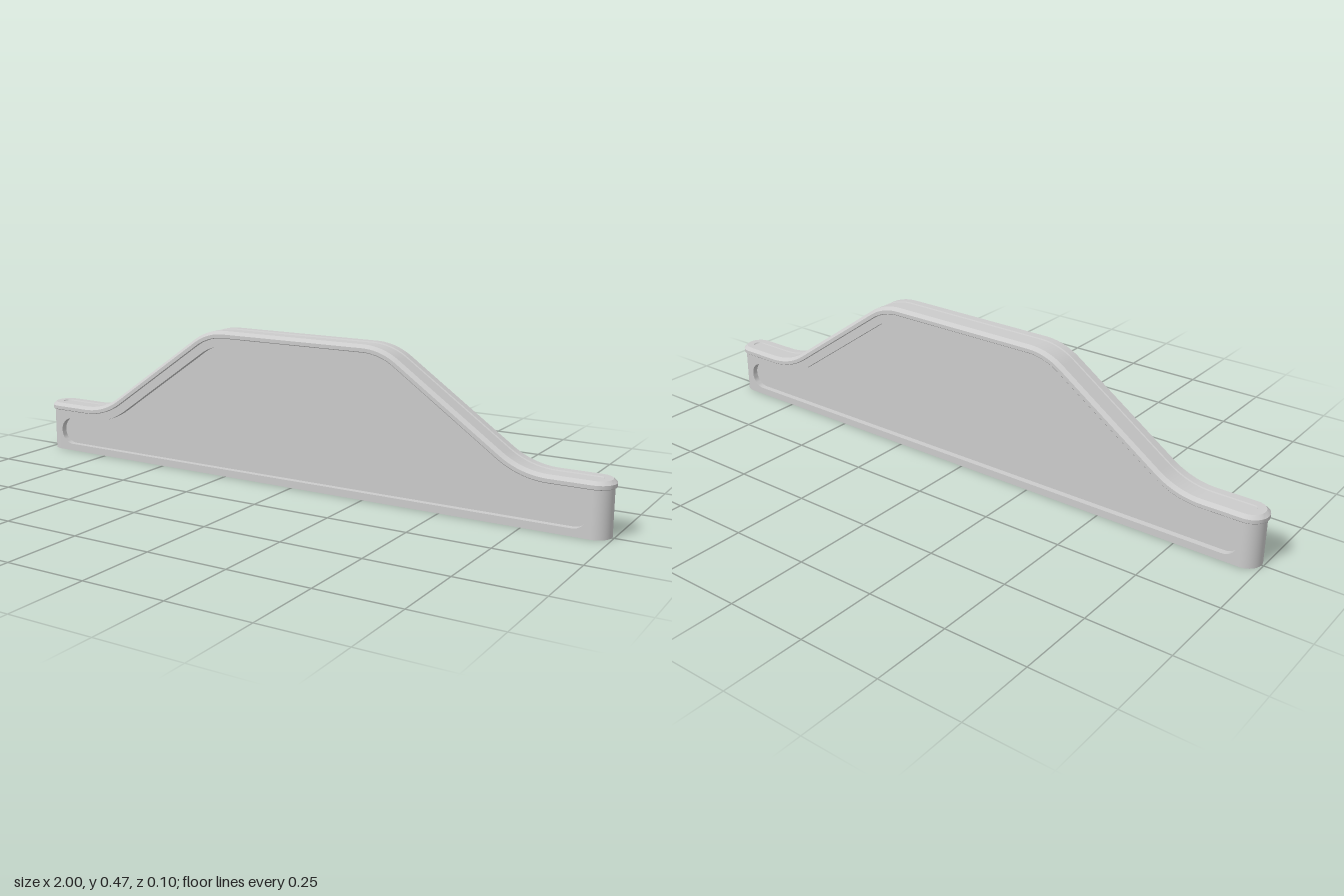
import * as THREE from 'three';
import { toCreasedNormals, mergeVertices } from 'three/addons/utils/BufferGeometryUtils.js';

const END = 0.948;       // centre of the rounded ends
const WALL = 0.046;      // half thickness of the body
const RIM = 0.052;       // half thickness of the rim
const TOP = 0.163;       // height of the low shoulders
const PEAK = 0.47;       // height of the raised middle
const SHOULDER_X = 0.75; // where the slope meets the shoulder
const PEAK_X = 0.31;     // where the slope meets the peak
const RIM_DEPTH = 0.023;
const INSET = 0.05;      // recess edge below the top outline
const RECESS_END = 0.895;
const RECESS_R = 0.045;
const FLOOR = 0.027;     // z of the recessed panels

// Top outline, left to right, as points with upward normals: [x, y, nx, ny]
function topLine() {
  const angle = Math.atan2(PEAK - TOP, SHOULDER_X - PEAK_X);
  const half = [];
  const fillet = (cx, cy, r, sign) => {
    // sign +1: hollow bend at the shoulder, -1: rounded bend at the peak
    const t = r * Math.tan(angle / 2);
    const n = 10;
    for (let i = 0; i <= n; i++) {
      const a = sign > 0 ? angle * i / n : angle * (1 - i / n);
      const x = cx - sign * (t - r * Math.sin(a));
      const y = cy + sign * r * (1 - Math.cos(a));
      half.push([x, y, -Math.sin(a), Math.cos(a)]);
    }
  };
  half.push([-END, TOP, 0, 1]);
  fillet(-SHOULDER_X, TOP, 0.24, 1);
  fillet(-PEAK_X, PEAK, 0.2, -1);
  return half.concat(half.map(([x, y, nx, ny]) => [-x, y, -nx, ny]).reverse());
}

const LINE = topLine();
const offsetLine = d => LINE.map(([x, y, nx, ny]) => [x - nx * d, y - ny * d]);

// Closed loop around the body at half width h, sunk by d below the top outline
function ring(h, d) {
  const line = offsetLine(d);
  const pts = line.map(([x, y]) => [x, y, h]);
  const n = 16;
  const cap = (cx, start) => {
    for (let i = 1; i < n; i++) {
      const a = start - Math.PI * i / n;
      pts.push([cx + h * Math.cos(a), TOP - d, h * Math.sin(a)]);
    }
  };
  cap(END, Math.PI / 2);
  for (const [x, y] of [...line].reverse()) pts.push([x, y, -h]);
  cap(-END, -Math.PI / 2);
  return pts;
}

// Skin between successive loops
function loft(rings) {
  const n = rings[0].length;
  const index = [];
  for (let i = 0; i < rings.length - 1; i++) {
    for (let j = 0; j < n; j++) {
      const k = (j + 1) % n;
      const a = i * n + j, b = i * n + k, c = a + n, d = b + n;
      index.push(a, b, d, a, d, c);
    }
  }
  const g = new THREE.BufferGeometry();
  g.setAttribute('position', new THREE.Float32BufferAttribute(rings.flat(2), 3));
  g.setIndex(index);
  return toCreasedNormals(mergeVertices(g), 0.5);
}

// Outline of the side recess, grown by g, clockwise
function recessPoints(g = 0) {
  const pts = offsetLine(INSET - g).map(([x, y]) =>
    new THREE.Vector2(THREE.MathUtils.clamp(x, -RECESS_END, RECESS_END), y));
  const r = RECESS_R + g, cy = TOP - INSET - RECESS_R;
  const arc = (cx, start, count) => {
    for (let i = 1; i <= count; i++) {
      const a = start - Math.PI * i / 16;
      pts.push(new THREE.Vector2(cx + r * Math.cos(a), cy + r * Math.sin(a)));
    }
  };
  arc(RECESS_END, Math.PI / 2, 16);
  pts.push(new THREE.Vector2(-RECESS_END, cy - r));
  arc(-RECESS_END, -Math.PI / 2, 15);
  return pts;
}

// Flat plate from clockwise outlines; the outer one is turned to run against its hole
function slab(points, hole, z, depth) {
  const shape = new THREE.Shape([...points].reverse());
  if (hole) shape.holes.push(new THREE.Path(hole));
  const g = new THREE.ExtrudeGeometry(shape, { depth, bevelEnabled: false });
  g.translate(0, 0, z);
  return toCreasedNormals(g, 0.5);
}

export function createModel() {
  const model = new THREE.Group();
  const grey = new THREE.MeshStandardMaterial({ color: 0xcccccc });
  const thin = new THREE.MeshStandardMaterial({ color: 0xcccccc, side: THREE.DoubleSide });
  const add = (parent, name, geometry, material = grey) => {
    const mesh = new THREE.Mesh(geometry, material);
    mesh.name = name;
    parent.add(mesh);
    return mesh;
  };

  // Chamfered rim with a shallow groove along its top; its underside closes the shell
  add(model, 'rim', loft([
    ring(0, RIM_DEPTH), ring(WALL, RIM_DEPTH), ring(RIM - 0.002, RIM_DEPTH),
    ring(RIM, RIM_DEPTH - 0.002), ring(RIM, 0.01), ring(0.041, 0),
    ring(0.017, 0), ring(0.015, 0.003), ring(0, 0.003),
  ]));

  // Side walls with a recessed panel, same on front and back
  const wallPoints = offsetLine(RIM_DEPTH).map(p => new THREE.Vector2(...p));
  wallPoints.push(new THREE.Vector2(END, 0), new THREE.Vector2(-END, 0));
  for (const [name, turn] of [['frontSide', 0], ['backSide', Math.PI]]) {
    const side = new THREE.Group();
    side.name = name;
    side.rotation.y = turn;
    add(side, 'sideWall', slab(wallPoints, recessPoints(), WALL - 0.004, 0.004));
    add(side, 'recessEdge', slab(recessPoints(0.003), recessPoints(), FLOOR - 0.004, WALL - FLOOR + 0.002));
    add(side, 'recessPanel', slab(recessPoints(0.001), null, FLOOR - 0.004, 0.004));
    model.add(side);
  }

  // Rounded end walls, open below
  for (const s of [1, -1]) {
    const height = TOP - RIM_DEPTH;
    const g = new THREE.CylinderGeometry(WALL, WALL, height, 24, 1, true, s > 0 ? 0 : Math.PI, Math.PI);
    const end = add(model, s > 0 ? 'leftEnd' : 'rightEnd', g, thin);
    end.position.set(s * END, height / 2, 0);
  }
  return model;
}
